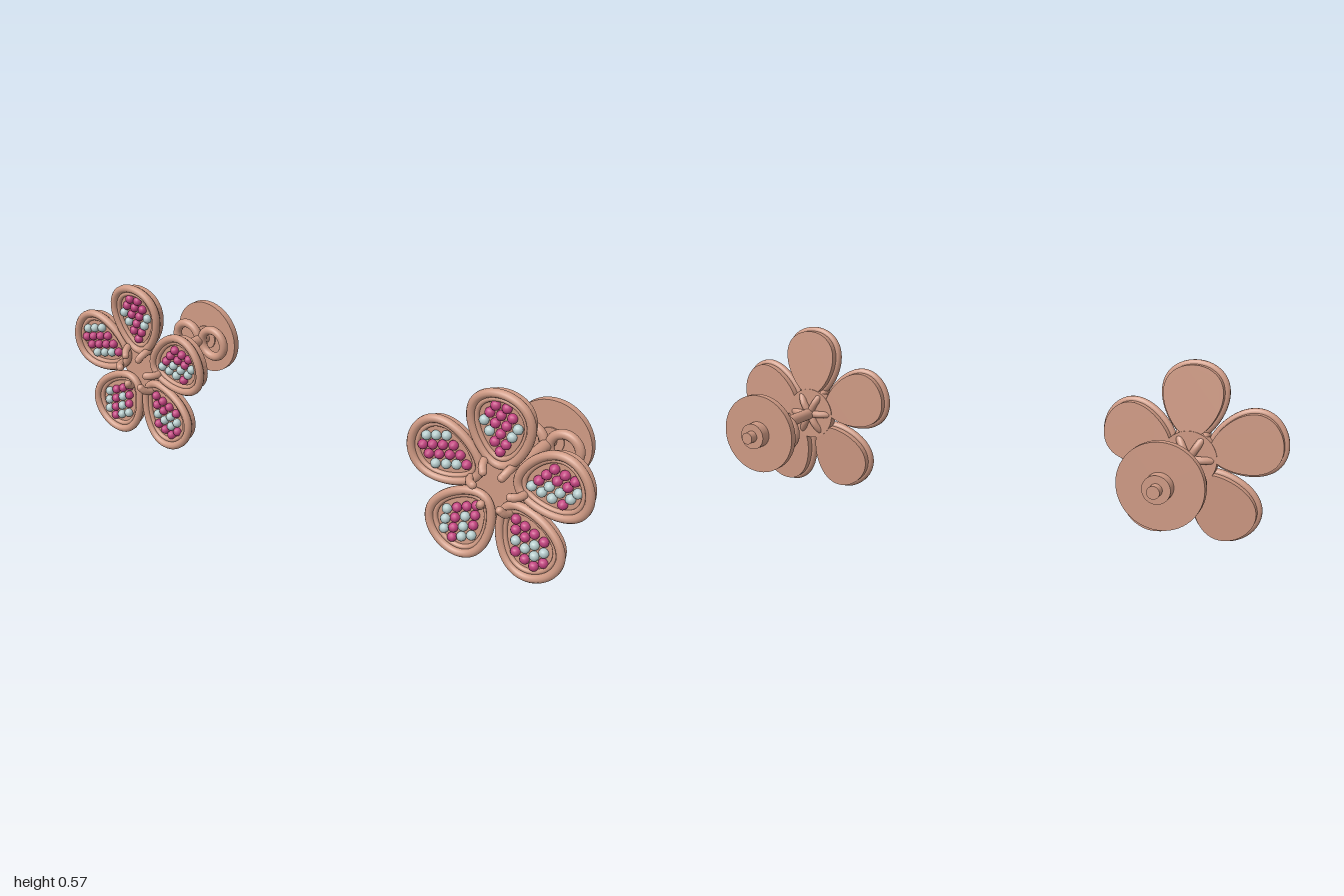
import * as THREE from 'three';

const metal = new THREE.MeshStandardMaterial({ color: 0xcf9a84 });
metal.name = 'roseGold';
const pink = new THREE.MeshStandardMaterial({ color: 0xc2427f });
pink.name = 'pinkStone';
const pale = new THREE.MeshStandardMaterial({ color: 0xb6cccc });
pale.name = 'paleStone';

const part = (parent, name, geometry, material = metal) => {
  const mesh = new THREE.Mesh(geometry, material);
  mesh.name = name;
  parent.add(mesh);
  return mesh;
};

// Cylinder lying along z between two depths
const rod = (radius, z0, z1, sides = 48) =>
  new THREE.CylinderGeometry(radius, radius, Math.abs(z1 - z0), sides)
    .rotateX(Math.PI / 2).translate(0, 0, (z0 + z1) / 2);

// Egg-shaped petal outline, wide end outward along +y
function petalOutline(scale = 1) {
  const points = [];
  for (let i = 0; i < 48; i++) {
    const a = (i / 48) * Math.PI * 2;
    points.push(new THREE.Vector2(
      -0.0915 * scale * Math.sin(a) * (1 + 0.25 * Math.cos(a)),
      0.191 + 0.113 * scale * Math.cos(a)));
  }
  return points;
}

function petalRim(scale, radius, z) {
  const path = new THREE.CatmullRomCurve3(
    petalOutline(scale).map(p => new THREE.Vector3(p.x, p.y, z)), true);
  return new THREE.TubeGeometry(path, 64, radius, 10, true);
}

const plateGeo = new THREE.ExtrudeGeometry(new THREE.Shape(petalOutline()),
  { depth: 0.03, bevelEnabled: false }).translate(0, 0, 0.144);
const rimGeo = petalRim(1, 0.0135, 0.18);
const innerRimGeo = petalRim(0.83, 0.008, 0.176);
const stoneGeo = new THREE.SphereGeometry(0.0152, 12, 8);

// Stone rows for each petal, inner end first (p = pink, g = pale)
const rowRadius = [0.121, 0.149, 0.178, 0.208, 0.237, 0.264];
const patterns = [
  ['p', 'pp', 'gpg', 'gppg', 'ppp', 'pp'],
  ['p', 'gp', 'gpp', 'gppg', 'ppg', 'pg'],
  ['p', 'pp', 'pgp', 'ggpg', 'gpg', 'pg'],
  ['p', 'pp', 'ppg', 'pggp', 'ggp', 'pp'],
  ['g', 'pg', 'pgg', 'ppgp', 'ppg', 'pg'],
];

function createPetal(rows) {
  const petal = new THREE.Group();
  petal.name = 'petal';
  petal.rotation.x = 0.07;
  part(petal, 'petalPlate', plateGeo);
  part(petal, 'petalRim', rimGeo);
  part(petal, 'petalInnerRim', innerRimGeo);
  rows.forEach((row, r) => [...row].forEach((c, i) => {
    const stone = part(petal, c === 'p' ? 'pinkStone' : 'paleStone', stoneGeo, c === 'p' ? pink : pale);
    stone.position.set((i - (row.length - 1) / 2) * 0.035, rowRadius[r], 0.179);
  }));
  return petal;
}

// Claw bending from the back of the centre around to the front
const prongPath = new THREE.CatmullRomCurve3([
  [0.012, 0.143], [0.045, 0.144], [0.078, 0.165], [0.084, 0.198], [0.072, 0.219], [0.06, 0.226],
].map(([r, z]) => new THREE.Vector3(r, 0, z)));
const prongGeo = new THREE.TubeGeometry(prongPath, 24, 0.0125, 10);
const prongTipGeo = new THREE.SphereGeometry(0.0125, 12, 8).translate(0.06, 0, 0.226);

function createEarring() {
  const earring = new THREE.Group();
  earring.name = 'earring';

  // Flower head
  patterns.forEach((rows, i) => {
    const spoke = new THREE.Group();
    spoke.name = 'petalSpoke';
    spoke.rotation.z = (i * Math.PI * 2) / 5;
    spoke.add(createPetal(rows));
    earring.add(spoke);
  });
  part(earring, 'centreDisc', rod(0.088, 0.148, 0.176));
  for (let i = 0; i < 6; i++) {
    const prong = new THREE.Group();
    prong.name = 'prong';
    prong.rotation.z = (i * Math.PI) / 3;
    part(prong, 'prongArm', prongGeo);
    part(prong, 'prongTip', prongTipGeo);
    earring.add(prong);
  }

  // Post and clutch
  part(earring, 'post', rod(0.0195, 0.15, -0.238, 32));
  for (const side of [-1, 1]) {
    part(earring, 'clutchLoop', new THREE.TorusGeometry(0.05, 0.0155, 14, 40))
      .position.set(side * 0.059, 0, -0.117);
  }
  part(earring, 'clutchDisc', rod(0.132, -0.15, -0.173, 64));
  part(earring, 'clutchCollar', rod(0.043, -0.145, -0.209));
  return earring;
}

export function createModel() {
  const model = new THREE.Group();
  model.name = 'flowerEarrings';
  for (const side of [-1, 1]) {
    const earring = createEarring();
    earring.position.set(side * 0.69, 0.283, 0.012 - 0.012);
    model.add(earring);
  }
  return model;
}
